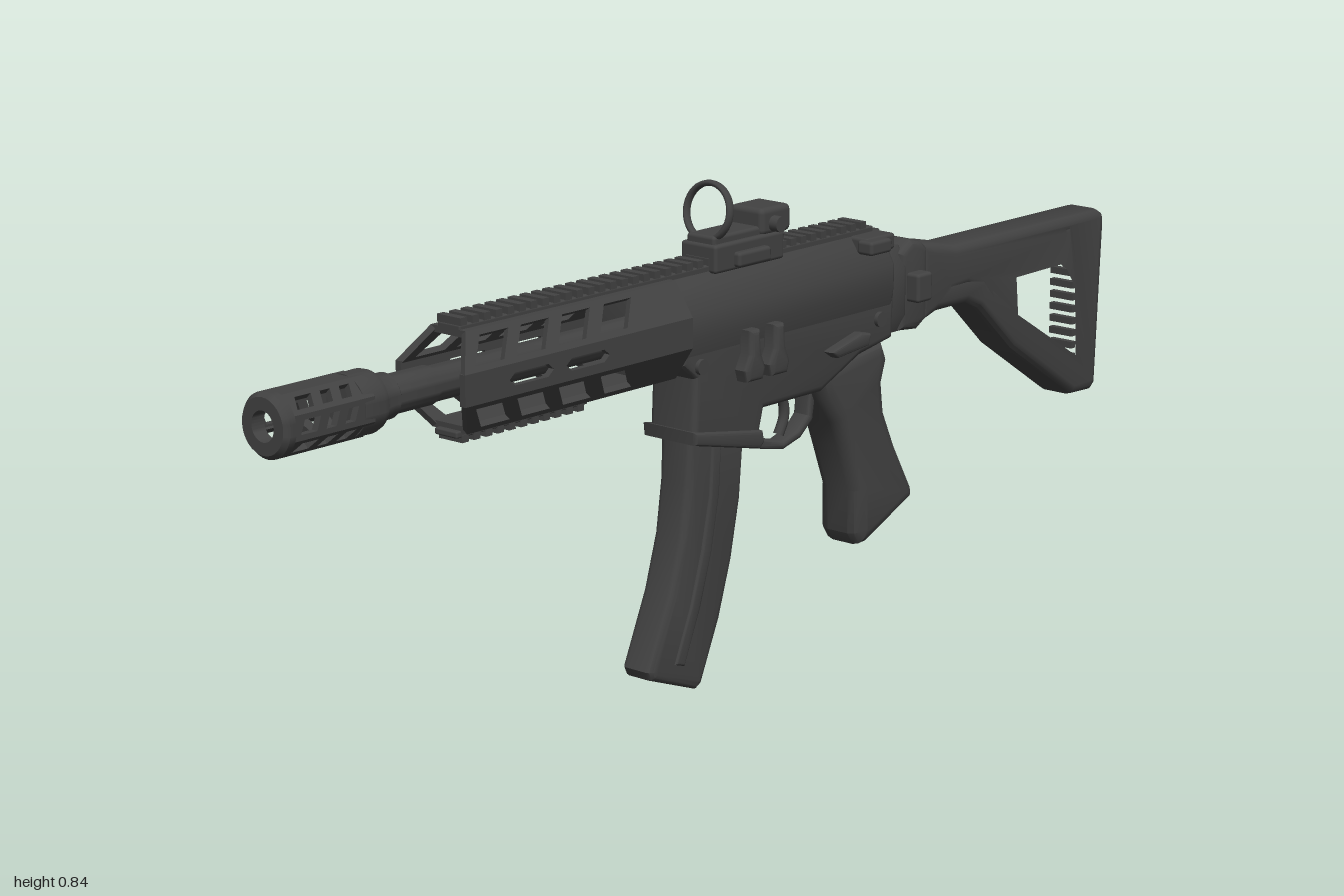
import * as THREE from 'three';
import { toCreasedNormals, mergeGeometries } from 'three/addons/utils/BufferGeometryUtils.js';
import { RoundedBoxGeometry } from 'three/addons/geometries/RoundedBoxGeometry.js';

export function createModel() {
  const group = new THREE.Group();
  const body = new THREE.Group();
  body.name = 'body';
  body.position.z = 0.007;
  group.add(body);
  const dark = new THREE.MeshStandardMaterial({ color: 0x424242 });
  dark.name = 'charcoal';
  const AXIS = 0.622; // bore height

  const add = (name, geo, x = 0, y = 0, z = 0) => {
    const m = new THREE.Mesh(geo, dark);
    m.name = name;
    m.position.set(x, y, z);
    body.add(m);
    return m;
  };
  const box = (name, x0, x1, y0, y1, z0, z1, r = 0.006) =>
    add(name, new RoundedBoxGeometry(x1 - x0, y1 - y0, z1 - z0, 2, r), (x0 + x1) / 2, (y0 + y1) / 2, (z0 + z1) / 2);
  const toShape = (pts, holes = []) => {
    const s = new THREE.Shape(pts.map(p => new THREE.Vector2(...p)));
    holes.forEach(h => s.holes.push(new THREE.Path(h.map(p => new THREE.Vector2(...p)))));
    return s;
  };
  const extrude = (shape, depth, bevel) => toCreasedNormals(new THREE.ExtrudeGeometry(shape, {
    depth: depth - 2 * bevel, bevelEnabled: bevel > 0, bevelSize: bevel, bevelThickness: bevel,
    bevelOffset: -bevel, bevelSegments: 3, curveSegments: 16,
  }).translate(0, 0, bevel - depth / 2), 0.6);
  // side profile in x, y with a given width
  const plate = (name, pts, width, bevel, z = 0, holes = []) =>
    add(name, extrude(toShape(pts, holes), width, bevel), 0, 0, z);
  // mirrored cross-section in z, y run along x
  const bar = (name, half, x0, x1, bevel = 0.006) => {
    const pts = [...half, ...half.map(([z, y]) => [-z, y]).reverse()];
    return add(name, extrude(toShape(pts), x1 - x0, bevel).rotateY(Math.PI / 2), (x0 + x1) / 2);
  };
  // cylinder along x
  const rod = (name, r0, r1, x0, x1, y, z) =>
    add(name, new THREE.CylinderGeometry(r1, r0, x1 - x0, 28).rotateZ(-Math.PI / 2), (x0 + x1) / 2, y, z);
  // wall panel between two cross-section points [z, y, frontX]
  const panel = (p, q, back, holes, thick) => {
    const len = Math.hypot(q[0] - p[0], q[1] - p[1]), h = len / 2;
    const g = new THREE.ExtrudeGeometry(
      toShape([[p[2], -h], [back, -h], [back, h], [q[2], h]], holes(h)), { depth: thick, bevelEnabled: false });
    g.translate(0, 0, -thick);
    const v = new THREE.Vector3(0, (q[1] - p[1]) / len, (q[0] - p[0]) / len);
    const x = new THREE.Vector3(1, 0, 0);
    return g.applyMatrix4(new THREE.Matrix4().makeBasis(x, v, x.clone().cross(v))
      .setPosition(0, AXIS + (p[1] + q[1]) / 2, (p[0] + q[0]) / 2));
  };

  // Handguard: eight panels with slanted slots on the four bevels
  const A = -0.62, B = -0.66;
  const ring = [[0.037, -0.08, A], [0.074, -0.025, B], [0.074, 0.025, B], [0.037, 0.08, A],
    [-0.037, 0.08, A], [-0.074, 0.025, B], [-0.074, -0.025, B], [-0.037, -0.08, A]];
  const walls = ring.map((p, i) => {
    const q = ring[(i + 1) % 8];
    return panel(p, q, -0.15, h => {
      const k = h * 0.7;
      if (p[2] !== q[2]) {
        const s = v => (v[2] - B) * 0.9;
        return [-0.632, -0.543, -0.452, -0.358].map(x =>
          [[x + s(p), -k], [x + 0.062 + s(p), -k], [x + 0.062 + s(q), k], [x + s(q), k]]);
      }
      if (p[2] === B) return [-0.565, -0.44].map(x =>
        [[x, 0], [x + 0.012, -0.01], [x + 0.085, -0.01], [x + 0.097, 0], [x + 0.085, 0.01], [x + 0.012, 0.01]]);
      return [];
    }, 0.011);
  });
  add('handguard', mergeGeometries(walls));
  bar('handguardCollar', [[0.033, 0.545], [0.068, 0.597], [0.068, 0.647], [0.033, 0.699]], -0.22, -0.145, 0.003);

  // Muzzle device, collar and barrel
  const sides = 8, mr = 0.051;
  const corner = i => {
    const a = (i + 0.5) * Math.PI * 2 / sides;
    return [Math.cos(a) * mr, Math.sin(a) * mr, -0.99];
  };
  const brake = Array.from({ length: sides }, (_, i) => panel(corner(i), corner(i + 1), -0.82,
    h => (i % 4 === 1 ? [] : [[-0.968, 0.032], [-0.918, 0.02], [-0.88, 0.02]].map(([x, w]) =>
      [[x, -h * 0.55], [x + w, -h * 0.55], [x + w + 0.008, h * 0.55], [x + 0.008, h * 0.55]])), 0.012));
  add('muzzleBrake', mergeGeometries(brake));
  const lathe = (name, pts) => add(name, toCreasedNormals(new THREE.LatheGeometry(
    pts.map(p => new THREE.Vector2(...p)), 32).rotateZ(-Math.PI / 2), 0.5), 0, AXIS);
  lathe('muzzleCrown', [[0.024, -0.975], [0.024, -1], [0.044, -1], [0.051, -0.992], [0.051, -0.98], [0.024, -0.975]]);
  lathe('barrel', [[0, -0.84], [0.049, -0.84], [0.05, -0.8], [0.047, -0.79], [0.04, -0.785], [0.036, -0.765],
    [0.036, -0.755], [0.031, -0.75], [0.031, -0.67], [0.028, -0.66], [0.028, -0.15], [0, -0.15]]);

  // Accessory rails
  box('topRail', -0.62, 0.36, 0.695, 0.709, -0.024, 0.024, 0.003);
  box('bottomRail', -0.63, -0.34, 0.534, 0.545, -0.024, 0.024, 0.003);
  const teeth = [];
  for (let x = -0.612; x < 0.355; x += 0.0255) {
    teeth.push(new THREE.BoxGeometry(0.014, 0.012, 0.05).translate(x, 0.714, 0));
    if (x < -0.345) teeth.push(new THREE.BoxGeometry(0.014, 0.012, 0.05).translate(x, 0.532, 0));
  }
  add('railTeeth', mergeGeometries(teeth));

  // Upper and lower receiver
  bar('upperReceiver', [[0.05, 0.575], [0.056, 0.605], [0.056, 0.645], [0.036, 0.682], [0.022, 0.702]], -0.15, 0.38);
  plate('lowerReceiver', [[-0.15, 0.6], [-0.148, 0.56], [-0.115, 0.535], [-0.12, 0.43], [0.04, 0.4], [0.055, 0.455],
    [0.2, 0.455], [0.245, 0.475], [0.3, 0.5], [0.385, 0.515], [0.39, 0.6]], 0.1, 0.012);
  plate('magazineWellLip', [[-0.126, 0.45], [-0.124, 0.428], [0.035, 0.392], [0.046, 0.402], [0.042, 0.422]], 0.116, 0.006);
  box('ejectionCover', 0.0, 0.16, 0.6, 0.648, -0.06, -0.05, 0.004);
  plate('shellDeflector', [[0.17, 0.595], [0.23, 0.6], [0.21, 0.65], [0.18, 0.655]], 0.025, 0.008, -0.058);
  rod('forwardAssist', 0.019, 0.019, 0.25, 0.345, 0.617, -0.058);
  const knob = rod('forwardAssistKnob', 0.025, 0.025, 0.335, 0.385, 0.617, -0.07);
  knob.rotation.y = 0.35;

  // Controls on the receiver sides
  for (const x of [0.002, 0.062]) {
    plate('boltPaddle', [[x - 0.012, 0.6], [x + 0.012, 0.6], [x + 0.016, 0.56], [x + 0.026, 0.535],
      [x + 0.02, 0.515], [x - 0.018, 0.515], [x - 0.024, 0.535], [x - 0.012, 0.56]], 0.032, 0.008, 0.06);
  }
  plate('selectorLever', [[0.2, 0.525], [0.22, 0.512], [0.3, 0.52], [0.305, 0.54], [0.28, 0.545]], 0.024, 0.006, 0.057);
  plate('farSelectorLever', [[0.2, 0.525], [0.22, 0.512], [0.3, 0.52], [0.305, 0.54], [0.28, 0.545]], 0.018, 0.006, -0.054);
  box('magazineCatch', 0.05, 0.085, 0.475, 0.505, -0.06, -0.045);
  for (const x of [-0.105, 0.345]) {
    add('receiverPin', new THREE.CylinderGeometry(0.013, 0.013, 0.114, 20).rotateX(Math.PI / 2), x, 0.555, 0);
  }
  box('chargingHandle', 0.3, 0.375, 0.672, 0.7, -0.055, 0.06);
  box('chargingLatch', 0.29, 0.345, 0.674, 0.698, 0.045, 0.078);

  // Trigger and guard
  plate('triggerGuard', [[0.045, 0.46], [0.05, 0.4], [0.07, 0.378], [0.14, 0.363], [0.185, 0.375], [0.215, 0.4], [0.225, 0.46]],
    0.034, 0.005, 0, [[[0.062, 0.45], [0.066, 0.407], [0.078, 0.392], [0.14, 0.377], [0.178, 0.388], [0.202, 0.41], [0.207, 0.45]]]);
  const triggerPath = new THREE.CatmullRomCurve3([[0.14, 0.47], [0.158, 0.435], [0.158, 0.41], [0.145, 0.385]]
    .map(([x, y]) => new THREE.Vector3(x, y, 0)));
  add('trigger', new THREE.TubeGeometry(triggerPath, 12, 0.009, 10));

  // Pistol grip
  plate('grip', [[0.195, 0.48], [0.215, 0.435], [0.25, 0.39], [0.268, 0.345], [0.3, 0.26], [0.3, 0.185], [0.315, 0.163],
    [0.335, 0.165], [0.455, 0.22], [0.455, 0.24], [0.41, 0.32], [0.378, 0.39], [0.372, 0.44], [0.385, 0.48], [0.37, 0.515], [0.24, 0.5]],
    0.092, 0.024);

  // Curved magazine with raised side ribs
  plate('magazine', [[-0.112, 0.45], [-0.115, 0.36], [-0.128, 0.27], [-0.155, 0.18], [-0.207, 0.06], [-0.2, 0.045], [-0.092, 0.005],
    [-0.08, 0.012], [-0.035, 0.115], [-0.005, 0.21], [0.016, 0.31], [0.026, 0.42]], 0.066, 0.012);
  plate('magazineRib', [[-0.06, 0.43], [-0.066, 0.33], [-0.085, 0.24], [-0.113, 0.15], [-0.15, 0.062],
    [-0.128, 0.055], [-0.09, 0.145], [-0.062, 0.235], [-0.043, 0.33], [-0.037, 0.43]], 0.074, 0.004);

  // Folding hinge
  bar('hingeBlock', [[0.035, 0.52], [0.046, 0.55], [0.046, 0.63], [0.03, 0.668]], 0.375, 0.425, 0.008);
  plate('hingeArm', [[0.41, 0.655], [0.44, 0.675], [0.47, 0.668], [0.485, 0.655], [0.485, 0.53], [0.46, 0.515], [0.41, 0.52]], 0.09, 0.014);
  add('hingePin', new THREE.CylinderGeometry(0.018, 0.018, 0.13, 20), 0.435, 0.59, -0.04);
  box('hingeButton', 0.425, 0.465, 0.57, 0.62, 0.04, 0.07);

  // Skeleton stock
  plate('stock', [[0.475, 0.662], [0.52, 0.655], [0.57, 0.644], [0.98, 0.644], [0.995, 0.635], [0.997, 0.615], [0.982, 0.325],
    [0.97, 0.313], [0.91, 0.315], [0.73, 0.432], [0.635, 0.52], [0.6, 0.535], [0.52, 0.535], [0.475, 0.522]], 0.08, 0.016, 0, [
    [[0.72, 0.575], [0.87, 0.578], [0.895, 0.562], [0.925, 0.52], [0.932, 0.372], [0.92, 0.366], [0.728, 0.482]],
    [[0.535, 0.583], [0.68, 0.583], [0.683, 0.515], [0.635, 0.555], [0.6, 0.565], [0.54, 0.562]],
    [[0.862, 0.612], [0.868, 0.632], [0.908, 0.632], [0.904, 0.612]]]);
  const pads = [];
  for (let y = 0.38; y < 0.56; y += 0.022) pads.push(new THREE.BoxGeometry(0.012, 0.012, 0.05).translate(0.928, y, 0));
  add('stockNotches', mergeGeometries(pads));

  // Reflex sight with open tilted ring
  box('sightMount', -0.055, 0.115, 0.695, 0.742, -0.038, 0.038);
  box('sightBase', -0.05, 0.1, 0.735, 0.755, -0.03, 0.03);
  box('sightHousing', 0.06, 0.135, 0.738, 0.784, -0.036, 0.036, 0.01);
  box('sightClamp', -0.01, 0.07, 0.7, 0.725, 0.03, 0.05);
  add('sightDial', new THREE.CylinderGeometry(0.013, 0.013, 0.025, 20).rotateX(Math.PI / 2), 0.09, 0.757, 0.04);
  const lens = add('sightRing', new THREE.TorusGeometry(0.046, 0.005, 10, 40).rotateY(Math.PI / 2), -0.03, 0.79, 0);
  lens.scale.x = 1.6;
  lens.rotation.z = -0.18;
  return group;
}
